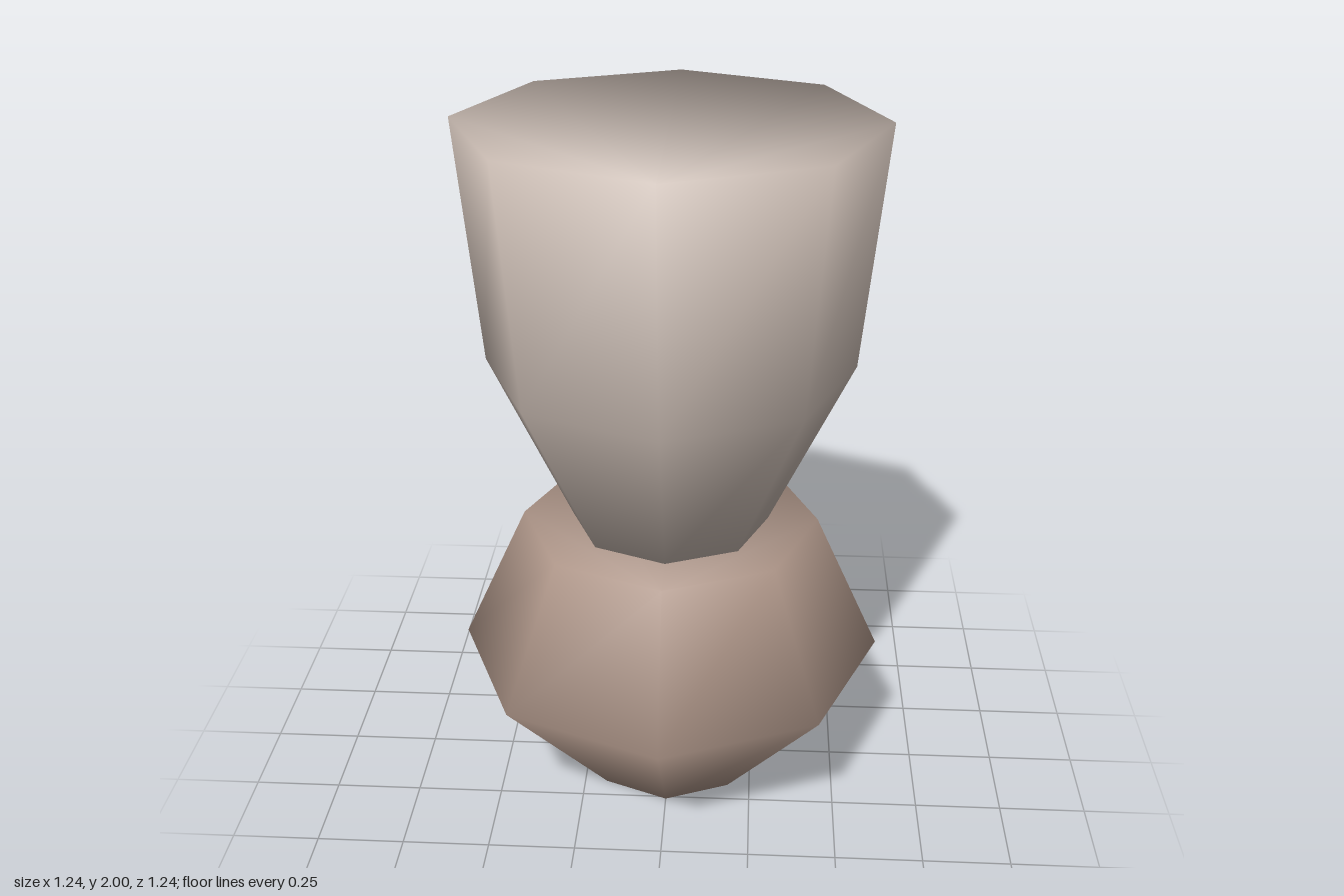
import * as THREE from 'three';

const SIDES = 8;

// Angle-weighted vertex normals, so every part shades as one smooth form.
function smoothNormals(geometry) {
  const pos = geometry.attributes.position;
  const index = geometry.index.array;
  const point = (i) => new THREE.Vector3().fromBufferAttribute(pos, i);
  const normals = Array.from({ length: pos.count }, () => new THREE.Vector3());
  for (let t = 0; t < index.length; t += 3) {
    const ids = [index[t], index[t + 1], index[t + 2]];
    ids.forEach((id, k) => {
      const a = point(id);
      const ab = point(ids[(k + 1) % 3]).sub(a);
      const ac = point(ids[(k + 2) % 3]).sub(a);
      const faceNormal = new THREE.Vector3().crossVectors(ab, ac).normalize();
      normals[id].addScaledVector(faceNormal, ab.angleTo(ac));
    });
  }
  const flat = normals.flatMap((n) => n.normalize().toArray());
  geometry.setAttribute('normal', new THREE.Float32BufferAttribute(flat, 3));
}

// Closed eight-sided solid from [radius, height] rings, listed bottom to top.
function ringSolid(profile) {
  const positions = [];
  const index = [];
  for (const [radius, y] of profile) {
    for (let i = 0; i < SIDES; i++) {
      const a = (i / SIDES) * Math.PI * 2;
      positions.push(radius * Math.sin(a), y, radius * Math.cos(a));
    }
  }
  // Side walls
  for (let r = 0; r < profile.length - 1; r++) {
    for (let i = 0; i < SIDES; i++) {
      const j = (i + 1) % SIDES;
      const a = r * SIDES + i;
      const b = r * SIDES + j;
      index.push(a, b, b + SIDES, a, b + SIDES, a + SIDES);
    }
  }
  // Flat bottom and top
  const top = (profile.length - 1) * SIDES;
  for (let i = 1; i < SIDES - 1; i++) {
    index.push(0, i + 1, i);
    index.push(top, top + i, top + i + 1);
  }
  const geometry = new THREE.BufferGeometry();
  geometry.setAttribute('position', new THREE.Float32BufferAttribute(positions, 3));
  geometry.setIndex(index);
  smoothNormals(geometry);
  return geometry;
}

function part(name, profile, material) {
  const mesh = new THREE.Mesh(ringSolid(profile), material);
  mesh.name = name;
  return mesh;
}

export function createModel() {
  const paleStone = new THREE.MeshStandardMaterial({ color: 0xc8bab1 });
  paleStone.name = 'paleStone';
  const brownClay = new THREE.MeshStandardMaterial({ color: 0xac9487 });
  brownClay.name = 'brownClay';

  const model = new THREE.Group();
  model.name = 'facetedVessel';
  model.add(
    // Squat bulging base
    part('base', [[0.26, 0], [0.62, 0.415], [0.43, 0.83]], brownClay),
    // Tall flaring upper body
    part('upperBody', [[0.285, 0.83], [0.52, 1.315], [0.585, 2]], paleStone),
  );
  return model;
}
